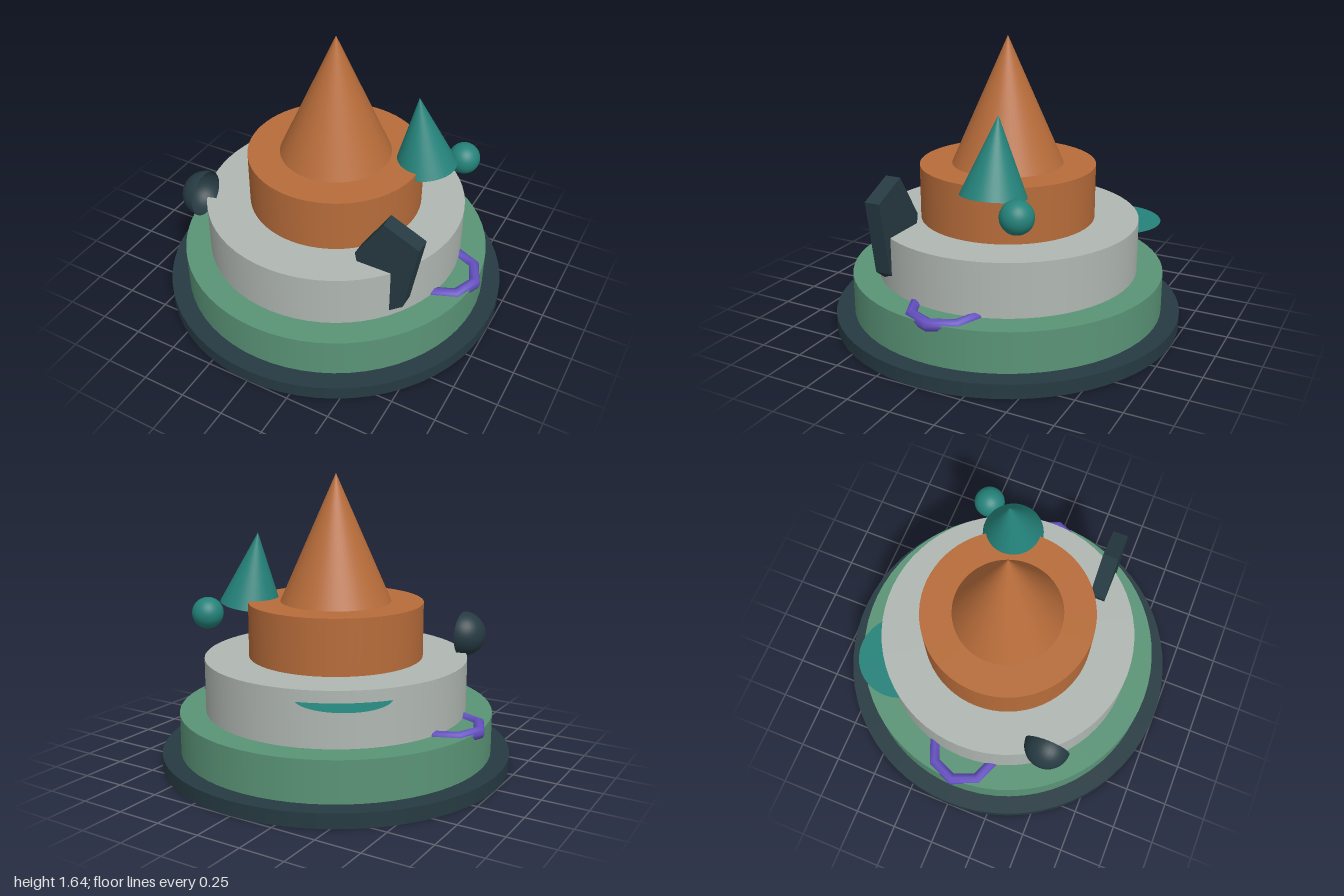
import * as THREE from 'three';

const mat = (name, color, side = THREE.FrontSide) => {
  const m = new THREE.MeshStandardMaterial({ color, side });
  m.name = name;
  return m;
};

export function createModel() {
  const group = new THREE.Group();
  const slate = mat('slate', 0x263a42, THREE.DoubleSide);
  const green = mat('green', 0x5a9477);
  const grey = mat('grey', 0xb0b7b2);
  const orange = mat('orange', 0xb76c3a);
  const teal = mat('teal', 0x24827a, THREE.DoubleSide);
  const purple = mat('purple', 0x6450c0);

  const add = (name, geometry, material, x = 0, y = 0, z = 0) => {
    const mesh = new THREE.Mesh(geometry, material);
    mesh.name = name;
    mesh.position.set(x, y, z);
    group.add(mesh);
    return mesh;
  };

  // Stacked round tiers: name, radius, bottom, top, material
  const tiers = [
    ['base', 1, 0, 0.08, slate],
    ['lowerTier', 0.895, 0.08, 0.31, green],
    ['middleTier', 0.747, 0.31, 0.615, grey],
    ['upperTier', 0.497, 0.615, 0.925, orange],
  ];
  for (const [name, r, y0, y1, m] of tiers) {
    add(name, new THREE.CylinderGeometry(r, r, y1 - y0, 64), m, 0, (y0 + y1) / 2, 0);
  }

  // Central spire
  add('spire', new THREE.ConeGeometry(0.315, 0.715, 64), orange, 0, 0.925 + 0.715 / 2, 0);

  // Ring handles, half sunk into the tiers
  for (const s of [1, -1]) {
    const ring = new THREE.TorusGeometry(0.19, 0.035, 8, 8).rotateX(Math.PI / 2);
    add(s > 0 ? 'leftHandle' : 'rightHandle', ring, purple, s * 0.7, 0.3, 0);
  }

  // Small leaning cone, placed by the centre of its base
  const lean = new THREE.ConeGeometry(0.178, 0.42, 48).translate(0, 0.21, 0);
  add('leaningCone', lean, teal, 0.48, 0.885, -0.16).rotation.z = THREE.MathUtils.degToRad(8);

  // Ball beside the leaning cone
  add('ball', new THREE.SphereGeometry(0.09, 32, 20), teal, 0.63, 0.85, -0.37);

  // Open half shell on the right edge of the middle tier
  const shell = new THREE.SphereGeometry(0.13, 32, 14, 0, Math.PI * 2, 0, Math.PI / 2);
  add('halfShell', shell.rotateZ(Math.PI / 2), slate, -0.58, 0.71, 0.47);

  // Flat disc cutting into the back of the middle tier
  const disc = new THREE.CircleGeometry(0.253, 48).rotateX(-Math.PI / 2);
  add('disc', disc, teal, -0.37, 0.55, -0.53);

  // Five-sided slab standing in the front left edge
  const outline = [[0.53, 0.922], [0.37, 0.668], [0.4545, 0.246], [0.66, 0.41], [0.733, 0.83]];
  const shape = new THREE.Shape(outline.map(([x, y]) => new THREE.Vector2(x, y)));
  const slab = new THREE.ExtrudeGeometry(shape, { depth: 0.091, bevelEnabled: false });
  add('slab', slab, slate, 0, 0, 0.376);

  return group;
}
